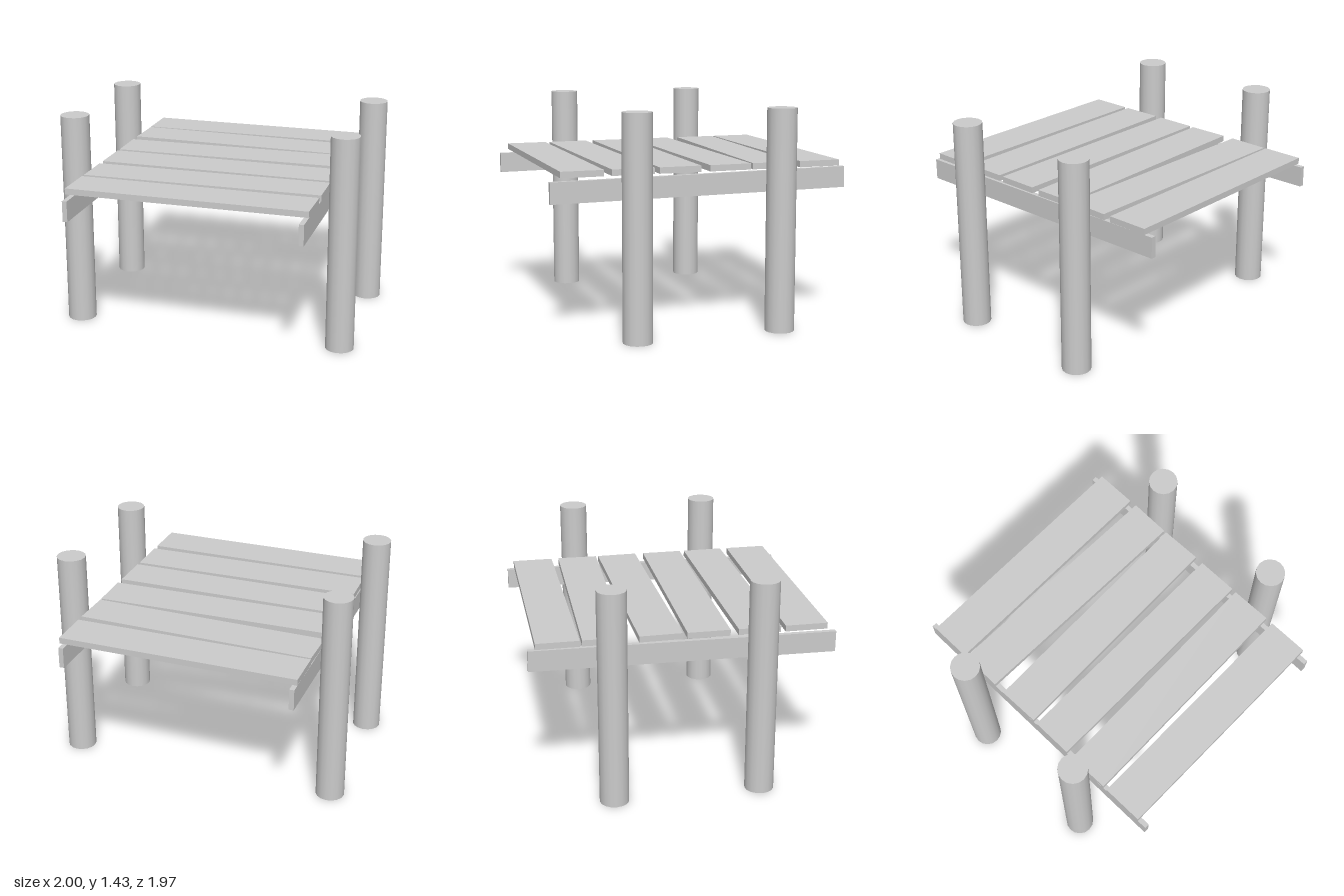
import * as THREE from 'three';

const material = new THREE.MeshStandardMaterial({ color: 0xcccccc });

function addPart(group, name, geometry, x, y, z) {
  const mesh = new THREE.Mesh(geometry, material);
  mesh.name = name;
  mesh.position.set(x, y, z);
  group.add(mesh);
  return mesh;
}

export function createModel() {
  const model = new THREE.Group();
  model.name = 'plankPlatform';

  // Four round corner posts
  const post = new THREE.CylinderGeometry(0.095, 0.095, 1.43, 16);
  for (const x of [-0.905, 0.905]) {
    for (const z of [-0.475, 0.475]) addPart(model, 'post', post, x, 0.715, z);
  }

  // Two side beams, dipping slightly towards the front
  const beam = new THREE.BoxGeometry(0.032, 0.137, 1.965);
  for (const x of [-0.775, 0.754]) {
    addPart(model, 'beam', beam, x, 0.945, 0.003).rotation.x = 0.009;
  }

  // Deck planks, some laid a little askew: [centre z, turn]
  const plank = new THREE.BoxGeometry(1.58, 0.04, 0.275);
  const layout = [
    [-0.795, 0], [-0.488, -0.022], [-0.165, 0.018],
    [0.155, 0], [0.472, 0.013], [0.787, 0],
  ];
  for (const [z, turn] of layout) {
    addPart(model, 'plank', plank, -0.005, 1.05, z).rotation.y = turn;
  }

  return model;
}
